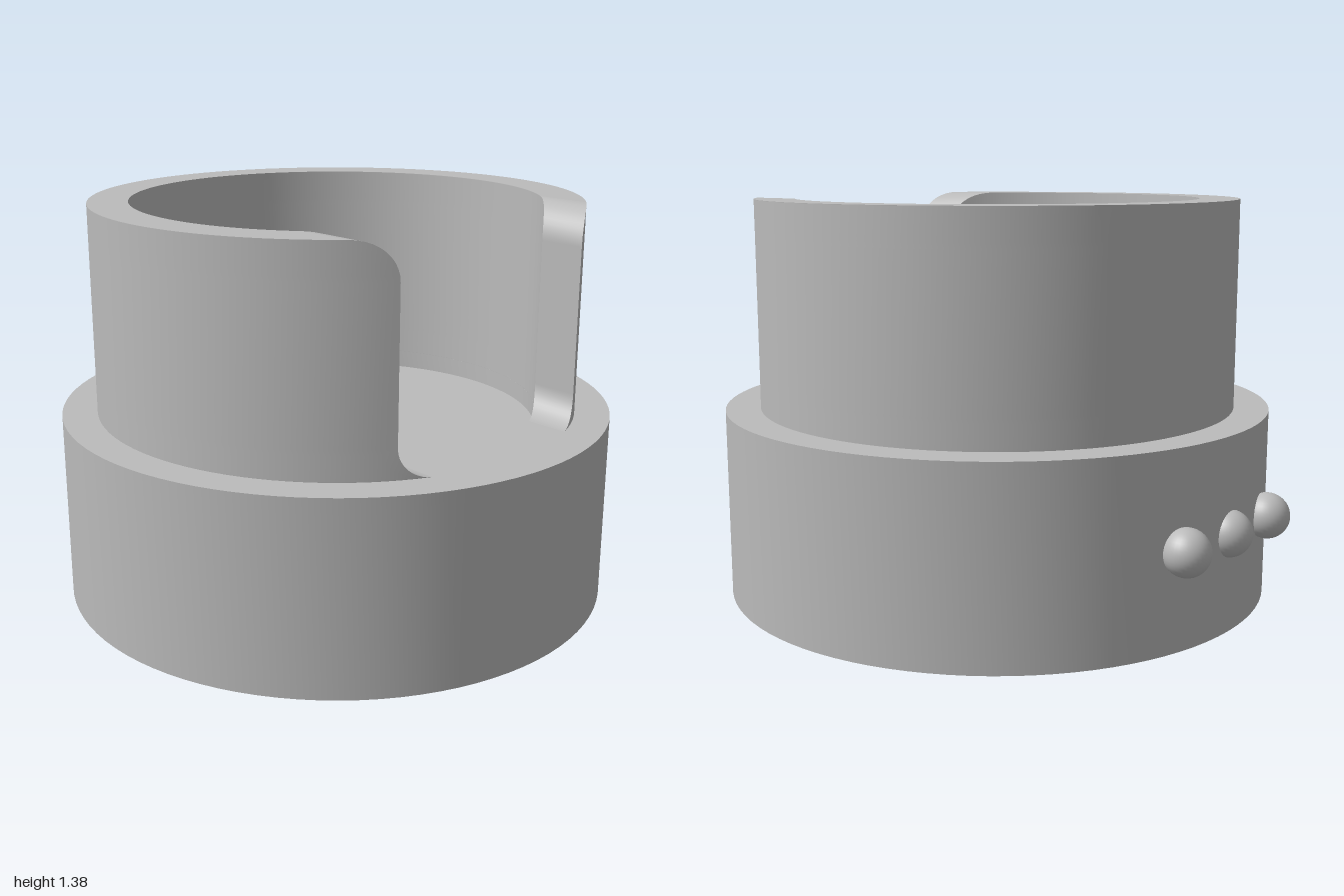
import * as THREE from 'three';
import { toCreasedNormals } from 'three/addons/utils/BufferGeometryUtils.js';

const CX = 0.034;                       // axis of the round body
const R_BASE = 0.966, R_CAVITY = 0.836, H_BASE = 0.655;
const R_OUT = 0.845, R_IN = 0.707, TOP = 1.38;
const SLOT = 0.415, R_LOW = 0.1, R_HIGH = 0.125;

// Grid surface from a point rule f(i, j); flip reverses the facing
function grid(nu, nv, f, flip) {
  const pos = [], idx = [];
  for (let j = 0; j <= nv; j++) for (let i = 0; i <= nu; i++) pos.push(...f(i, j));
  for (let j = 0; j < nv; j++) for (let i = 0; i < nu; i++) {
    const a = j * (nu + 1) + i, b = a + 1, c = a + nu + 1, d = c + 1;
    if (flip) idx.push(a, b, c, b, d, c);
    else idx.push(a, c, b, b, c, d);
  }
  const g = new THREE.BufferGeometry();
  g.setAttribute('position', new THREE.Float32BufferAttribute(pos, 3));
  g.setIndex(idx);
  g.computeVertexNormals();
  return g;
}

export function createModel() {
  const model = new THREE.Group();
  const grey = new THREE.MeshStandardMaterial({ color: 0xbbbbbb });
  grey.name = 'plain grey';
  const add = (name, geometry, parent = model) => {
    const mesh = new THREE.Mesh(geometry, grey);
    mesh.name = name;
    parent.add(mesh);
    return mesh;
  };

  // Base ring, hollow underneath, with a shallow recessed floor
  const profile = [
    [0, 0.525], [R_CAVITY, 0.525], [R_CAVITY, 0], [R_BASE, 0],
    [R_BASE, H_BASE], [R_IN, H_BASE], [R_IN, 0.59], [0, 0.59],
  ].map(([x, y]) => new THREE.Vector2(x, y));
  add('base', toCreasedNormals(new THREE.LatheGeometry(profile, 96), 0.6)).position.x = CX;

  // Edge of the slot as [half width, height]: lower fillet, then upper rounding
  const edge = [], STEPS = 10;
  for (let i = 0; i <= STEPS; i++) {
    const t = (i / STEPS) * Math.PI / 2;
    edge.push([SLOT - R_LOW + R_LOW * Math.sin(t), H_BASE + R_LOW * (1 - Math.cos(t))]);
  }
  for (let i = 0; i <= STEPS; i++) {
    const t = (i / STEPS) * Math.PI / 2;
    edge.push([SLOT + R_HIGH * (1 - Math.cos(t)), TOP - R_HIGH * (1 - Math.sin(t))]);
  }
  const rows = edge.length - 1, N = 96;

  // Point on the collar wall: u runs round from one slot edge to the other
  const wallPoint = (r, u, j) => {
    const [w, y] = edge[j];
    const start = Math.asin(w / r);
    const a = start + u * (2 * Math.PI - 2 * start);
    return [r * Math.cos(a), y, r * Math.sin(a)];
  };

  // Upper collar with an open slot on the left side
  const collar = new THREE.Group();
  collar.name = 'collar';
  collar.position.x = CX;
  model.add(collar);
  add('collarOutside', grid(N, rows, (i, j) => wallPoint(R_OUT, i / N, j)), collar);
  add('collarInside', grid(N, rows, (i, j) => wallPoint(R_IN, i / N, j), true), collar);
  add('collarRim', grid(N, 1, (i, j) => wallPoint(j ? R_IN : R_OUT, i / N, rows)), collar);
  for (const u of [0, 1]) {
    add(u ? 'slotEdgeBack' : 'slotEdgeFront',
      grid(1, rows, (i, j) => wallPoint(i ? R_OUT : R_IN, u, j), u === 1), collar);
  }

  // Three round studs on the right side
  for (const z of [-0.263, 0, 0.263]) {
    add('stud', new THREE.SphereGeometry(0.078, 32, 20)).position.set(-0.922, 0.33, z);
  }
  return model;
}
